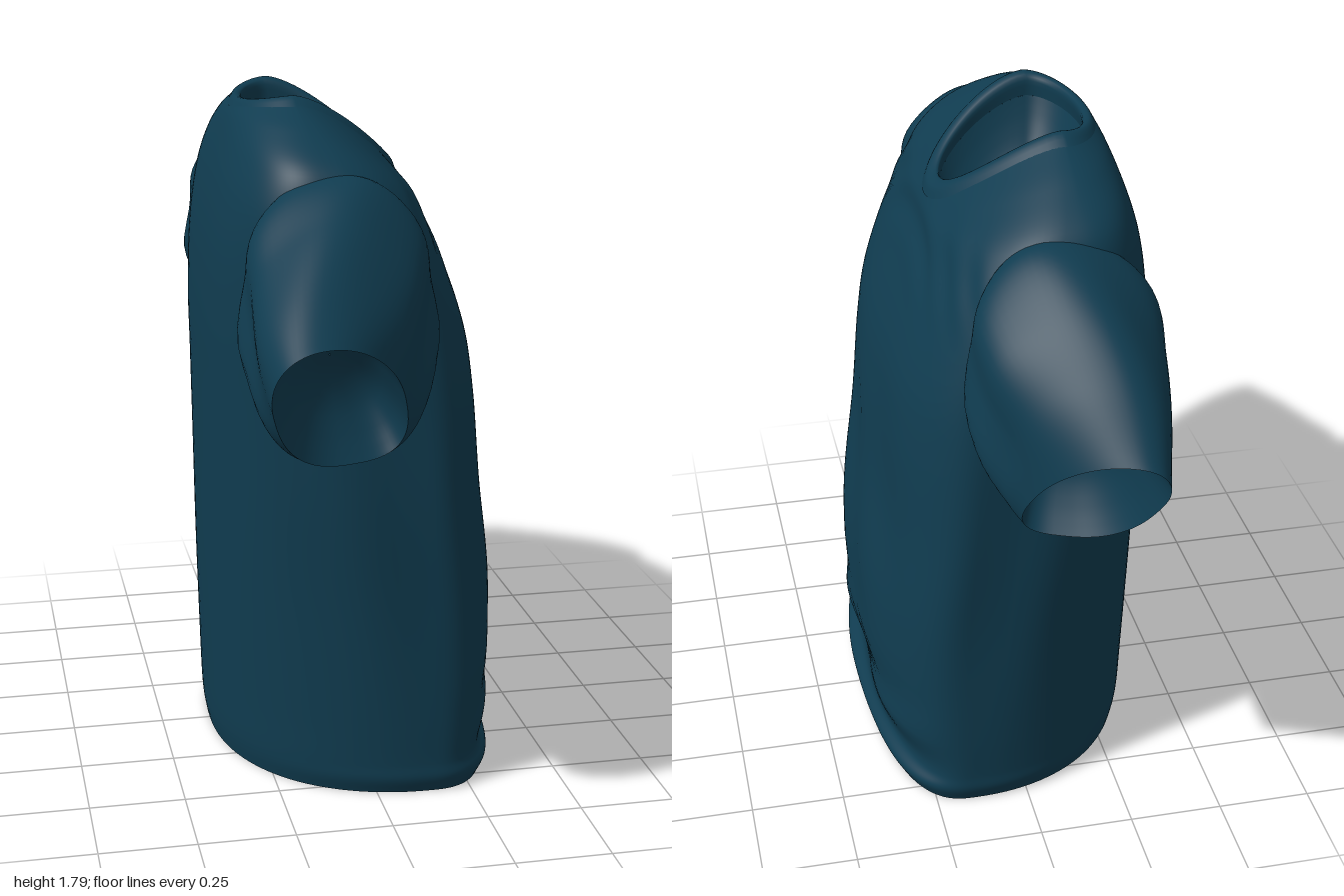
import * as THREE from 'three';

const TAU = Math.PI * 2;
const spow = (v, p) => Math.sign(v) * Math.abs(v) ** p;
const bump = (v, c, r) => Math.exp(-(((v - c) / r) ** 2));

// Smooth open tube through closed rings; ringPoint(key, angle) gives a point on a ring
function loft(keys, ringPoint, cols, rows, crease, flip = false) {
  const pos = [], idx = [];
  for (let i = 0; i < cols; i++) {
    const a = (i / cols) * TAU;
    const curve = new THREE.CatmullRomCurve3(keys.map((k) => ringPoint(k, a)));
    for (let j = 0; j <= rows; j++) {
      const p = curve.getPoint(j / rows);
      if (crease) crease(p, a, j / rows);
      pos.push(p.x, p.y, p.z);
    }
  }
  const at = (i, j) => (i % cols) * (rows + 1) + j;
  for (let i = 0; i < cols; i++) {
    for (let j = 0; j < rows; j++) {
      const q = [at(i, j), at(i, j + 1), at(i + 1, j + 1), at(i + 1, j)];
      if (flip) q.reverse();
      idx.push(q[0], q[1], q[2], q[0], q[2], q[3]);
    }
  }
  const g = new THREE.BufferGeometry();
  g.setAttribute('position', new THREE.Float32BufferAttribute(pos, 3));
  g.setIndex(idx);
  g.computeVertexNormals();
  return g;
}

// Hollow lining that closes an opening, sunk along depth
function pocket(rim, depth) {
  const centre = new THREE.Vector3();
  for (let i = 0; i < 32; i++) centre.addScaledVector(rim((i / 32) * TAU), 1 / 32);
  const point = (s, a) => rim(a).sub(centre).multiplyScalar(s).add(centre)
    .addScaledVector(depth, 1 - s ** 3);
  return loft([1, 0.95, 0.85, 0.65, 0.35, 0.01], point, 72, 15);
}

// Ring round the torso: heights at side, chest and back; half width;
// chest, back and side x; roundness of chest and back
function torsoRing([ys, yf, yb, w, xf, xb, xs, pf, pb], a) {
  const c = Math.cos(a), s = Math.sin(a);
  const reach = c > 0 ? xf - xs : xs - xb;
  const p = c > 0 ? pf : pb;
  const y = THREE.MathUtils.lerp(ys, c > 0 ? yf : yb, Math.abs(c) ** 1.5);
  return new THREE.Vector3(xs + reach * spow(c, p), y, w * spow(s, p));
}

// Ring round an arm: top y, z; bottom y, z; chest-side x, back x; skew of the underside to the chest
function sleeveRing([ty, tz, by, bz, xf, xb, skew], a, side) {
  const c = Math.cos(a), k = spow(c, c > 0 ? 0.95 : 0.75);
  const s = spow(Math.sin(a), c > 0 ? 0.95 : 0.75);
  return new THREE.Vector3(
    (xf + xb) / 2 + ((xf - xb) / 2) * s + (skew * (1 - k)) / 2,
    (ty + by) / 2 + ((ty - by) / 2) * k,
    side * ((tz + bz) / 2 + ((tz - bz) / 2) * k - skew * 0.5 * s));
}

const torsoRings = [
  [0.01, 0.01, 0.01, 0.575, 0.36, -0.365, 0.15, 0.78, 0.9],
  [0.05, 0.05, 0.05, 0.588, 0.38, -0.372, 0.15, 0.78, 0.9],
  [0.09, 0.09, 0.09, 0.586, 0.35, -0.375, 0.15, 0.78, 0.88],
  [0.20, 0.20, 0.20, 0.585, 0.37, -0.378, 0.15, 0.78, 0.86],
  [0.50, 0.50, 0.50, 0.58, 0.375, -0.382, 0.14, 0.78, 0.79],
  [0.80, 0.80, 0.80, 0.58, 0.34, -0.382, 0.12, 0.78, 0.72],
  [1.05, 1.05, 1.05, 0.572, 0.322, -0.382, 0.10, 0.76, 0.66],
  [1.22, 1.20, 1.22, 0.565, 0.298, -0.382, 0.06, 0.72, 0.63],
  [1.42, 1.38, 1.42, 0.56, 0.235, -0.37, -0.02, 0.68, 0.62],
  [1.56, 1.48, 1.57, 0.55, 0.19, -0.345, -0.08, 0.68, 0.65],
  [1.65, 1.54, 1.66, 0.51, 0.17, -0.32, -0.12, 0.75, 0.75],
  [1.73, 1.57, 1.73, 0.38, 0.155, -0.295, -0.14, 0.88, 0.88],
  [1.785, 1.59, 1.765, 0.235, 0.145, -0.275, -0.15, 1, 1],
];

const collarRings = [
  [1.775, 1.57, 1.75, 0.26, 0.16, -0.285, -0.15, 1, 1],
  [1.80, 1.60, 1.775, 0.215, 0.148, -0.268, -0.15, 1, 1],
  [1.79, 1.615, 1.77, 0.19, 0.12, -0.25, -0.15, 1, 1],
  [1.74, 1.59, 1.72, 0.185, 0.115, -0.255, -0.15, 1, 1],
];

// Each sleeve starts hidden inside the torso and ends at the cuff
const sleeveRings = {
  1: [
    [1.63, 0.42, 1.12, 0.48, 0.08, -0.28, 0],
    [1.64, 0.53, 1.05, 0.56, 0.14, -0.345, 0],
    [1.55, 0.69, 1.01, 0.65, 0.095, -0.365, 0.03],
    [1.44, 0.85, 0.985, 0.72, 0.025, -0.385, 0.07],
    [1.33, 1.00, 0.985, 0.76, -0.05, -0.385, 0.11],
  ],
  [-1]: [
    [1.63, 0.42, 1.12, 0.48, 0.10, -0.26, 0],
    [1.645, 0.53, 1.055, 0.57, 0.16, -0.33, 0],
    [1.57, 0.70, 1.03, 0.68, 0.135, -0.315, 0.03],
    [1.45, 0.86, 1.01, 0.77, 0.06, -0.295, 0.07],
    [1.30, 1.00, 1.00, 0.80, 0, -0.275, 0.11],
  ],
};

// Soft cloth folds on the torso
function torsoFolds(p, a) {
  const front = Math.max(0, Math.cos(a)), side = Math.abs(Math.sin(a));
  const low = bump(p.y, 0.18, 0.12), mid = bump(p.y, 0.7, 0.4);
  p.x += front * 0.01 * low * Math.sin(p.z * 9 + p.y * 28);
  p.x += front * 0.006 * mid * Math.sin(p.z * 14 - p.y * 5);
  p.x += front * 0.004 * bump(p.y, 1.5, 0.1) * Math.sin(p.y * 45 + p.z * p.z * 60);
  p.z += Math.sign(p.z) * side * 0.006 * mid * Math.sin(p.x * 22 + p.y * 4);
}

export function createModel() {
  const shirt = new THREE.Group();
  shirt.name = 'tShirt';
  const cloth = new THREE.MeshStandardMaterial({ color: 0x103c50, side: THREE.DoubleSide });
  cloth.name = 'tealCloth';
  const add = (name, geometry) => {
    const mesh = new THREE.Mesh(geometry, cloth);
    mesh.name = name;
    shirt.add(mesh);
  };

  add('torso', loft(torsoRings, torsoRing, 128, 96, torsoFolds));
  add('hemLining', pocket((a) => torsoRing(torsoRings[0], a), new THREE.Vector3(0, 0.09, 0)));
  add('collar', loft(collarRings, torsoRing, 96, 12));
  add('neckLining', pocket((a) => torsoRing(collarRings[3], a), new THREE.Vector3(0, -0.16, 0)));

  // Short sleeves with hollow cuffs
  for (const side of [1, -1]) {
    const name = side > 0 ? 'frontSleeve' : 'rearSleeve';
    const rings = sleeveRings[side];
    const folds = (p, a, t) => {
      const amount = 0.012 * Math.sin(Math.PI * t);
      p.x += amount * Math.sin(a) * Math.sin(p.y * 24 + t * 9);
      p.y += amount * 0.6 * Math.cos(a) * Math.sin(p.x * 20 + t * 8);
    };
    add(name, loft(rings, (k, a) => sleeveRing(k, a, side), 72, 32, folds, side < 0));
    add(name + 'Lining', pocket((a) => sleeveRing(rings[4], a, side),
      new THREE.Vector3(0, 0.1, -0.14 * side)));
  }
  return shirt;
}
